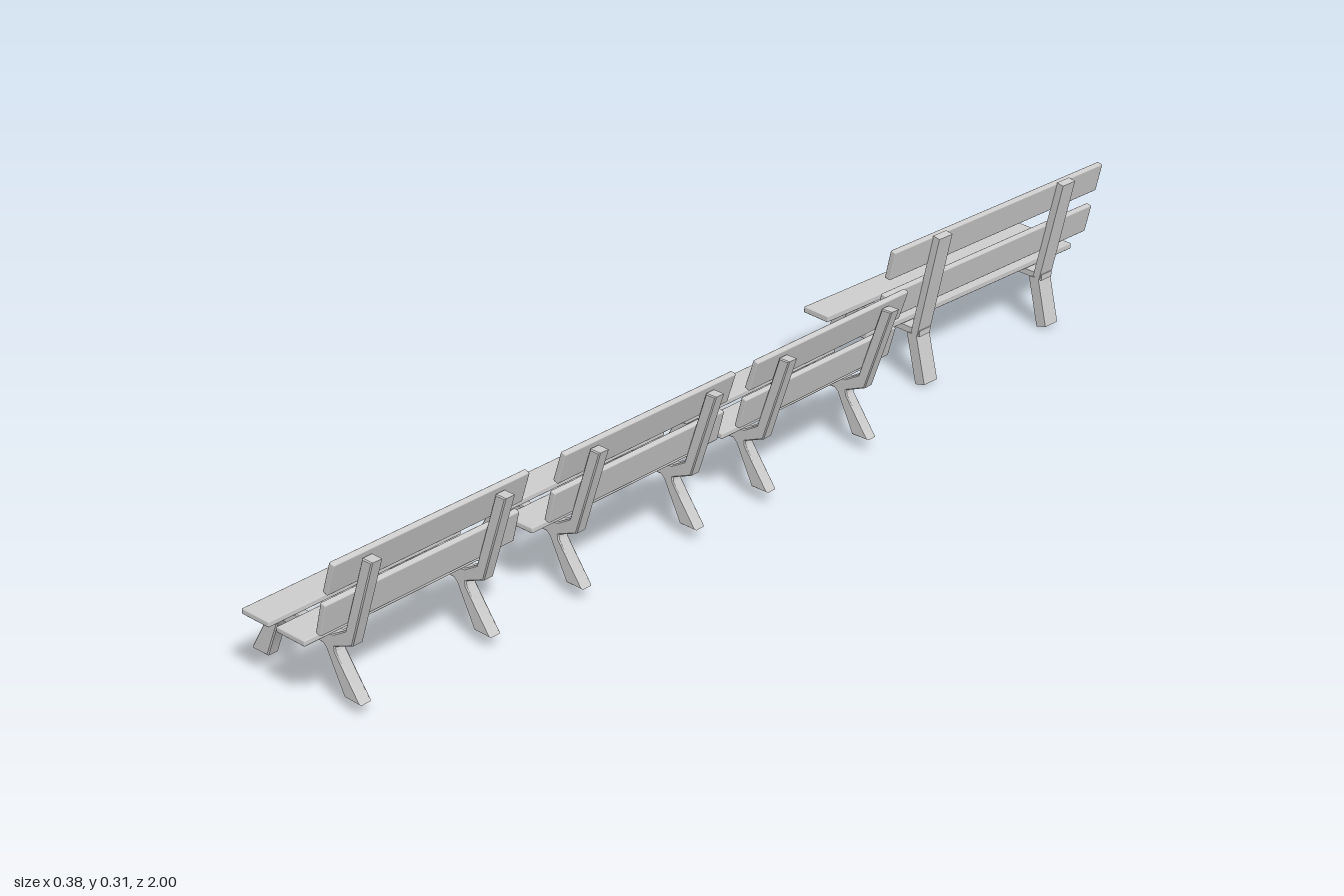
import * as THREE from 'three';
import { RoundedBoxGeometry } from 'three/addons/geometries/RoundedBoxGeometry.js';
import { toCreasedNormals } from 'three/addons/utils/BufferGeometryUtils.js';

const material = new THREE.MeshStandardMaterial({ color: 0xcccccc });

function add(parent, name, geometry) {
  const mesh = new THREE.Mesh(geometry, material);
  mesh.name = name;
  parent.add(mesh);
  return mesh;
}

// Plank running along z, turned by angle in the x-y plane
function plank(parent, name, x, y, width, height, length, angle = 0) {
  const mesh = add(parent, name, new RoundedBoxGeometry(width, height, length, 1, 0.002));
  mesh.position.set(x, y, 0);
  mesh.rotation.z = angle;
  return mesh;
}

// Square-cut beam between two points of the x-y plane
function beam(parent, name, [x0, y0], [x1, y1], thickness, depth, z) {
  const length = Math.hypot(x1 - x0, y1 - y0);
  const mesh = add(parent, name, new THREE.BoxGeometry(thickness, length, depth));
  mesh.position.set((x0 + x1) / 2, (y0 + y1) / 2, z);
  mesh.rotation.z = Math.atan2(x0 - x1, y1 - y0);
  return mesh;
}

// One-piece side frame: two splayed legs, seat rail and bent back support
function frameGeometry() {
  const outline = [
    [-0.11, 0.023], [-0.072, 0.023], [-0.041, 0.095], [-0.034, 0.101],
    [0.063, 0.101], [0.07, 0.095], [0.105, 0.023], [0.142, 0.023],
    [0.091, 0.095], [0.09, 0.104], [0.131, 0.121], [0.187, 0.283],
    [0.165, 0.283], [0.117, 0.143], [0.088, 0.126], [-0.05, 0.126], [-0.056, 0.112],
  ].map(([x, y]) => new THREE.Vector2(x, y));
  const bevel = 0.002;
  const geometry = new THREE.ExtrudeGeometry(new THREE.Shape(outline), {
    depth: 0.018, bevelEnabled: true, bevelSize: bevel, bevelOffset: -bevel,
    bevelThickness: bevel, bevelSegments: 1,
  });
  geometry.translate(0, 0, -0.009);
  return toCreasedNormals(geometry, 0.6);
}

function castFrameBench(frame) {
  const bench = new THREE.Group();
  for (const side of [-1, 1]) add(bench, 'sideFrame', frame).position.z = side * 0.133;
  const length = 0.392, lean = -0.33;
  plank(bench, 'frontSeatSlat', -0.028, 0.13, 0.062, 0.01, length);
  plank(bench, 'rearSeatSlat', 0.053, 0.13, 0.064, 0.01, length);
  plank(bench, 'lowerBackSlat', 0.126, 0.188, 0.011, 0.06, length, -0.27);
  plank(bench, 'upperBackSlat', 0.15, 0.265, 0.011, 0.06, length, lean);
  return bench;
}

function timberBench() {
  const bench = new THREE.Group();
  for (const z of [-0.178, 0.178]) {
    beam(bench, 'frontLeg', [-0.178, 0.016], [-0.14, 0.107], 0.024, 0.036, z);
    beam(bench, 'rearLeg', [0.049, 0.003], [0.025, 0.1], 0.022, 0.036, z);
    beam(bench, 'seatRail', [-0.157, 0.11], [0.042, 0.102], 0.012, 0.03, z);
    beam(bench, 'backPost', [0.031, 0.1], [0.076, 0.304], 0.015, 0.036, z);
  }
  const length = 0.598, lean = -0.22;
  const seat = [
    plank(bench, 'frontSeatSlat', -0.119, 0.123, 0.059, 0.012, length, -0.04),
    plank(bench, 'rearSeatSlat', -0.024, 0.119, 0.059, 0.012, length, -0.04),
  ];
  for (const slat of seat) slat.rotation.x = -0.006;
  plank(bench, 'lowerBackSlat', 0.037, 0.186, 0.012, 0.058, length, lean);
  plank(bench, 'upperBackSlat', 0.057, 0.276, 0.012, 0.058, length, lean);
  return bench;
}

export function createModel() {
  const model = new THREE.Group();
  model.name = 'benchRow';

  // Three matching benches in a line
  const frame = frameGeometry();
  [0.803, 0.335, -0.11].forEach((z, i) => {
    const bench = castFrameBench(frame);
    bench.name = 'castFrameBench' + (i + 1);
    bench.position.z = z;
    model.add(bench);
  });

  // Longer timber bench, set slightly askew at the far end
  const timber = timberBench();
  timber.name = 'timberBench';
  timber.position.z = -0.7;
  timber.rotation.y = -0.033;
  model.add(timber);
  return model;
}
